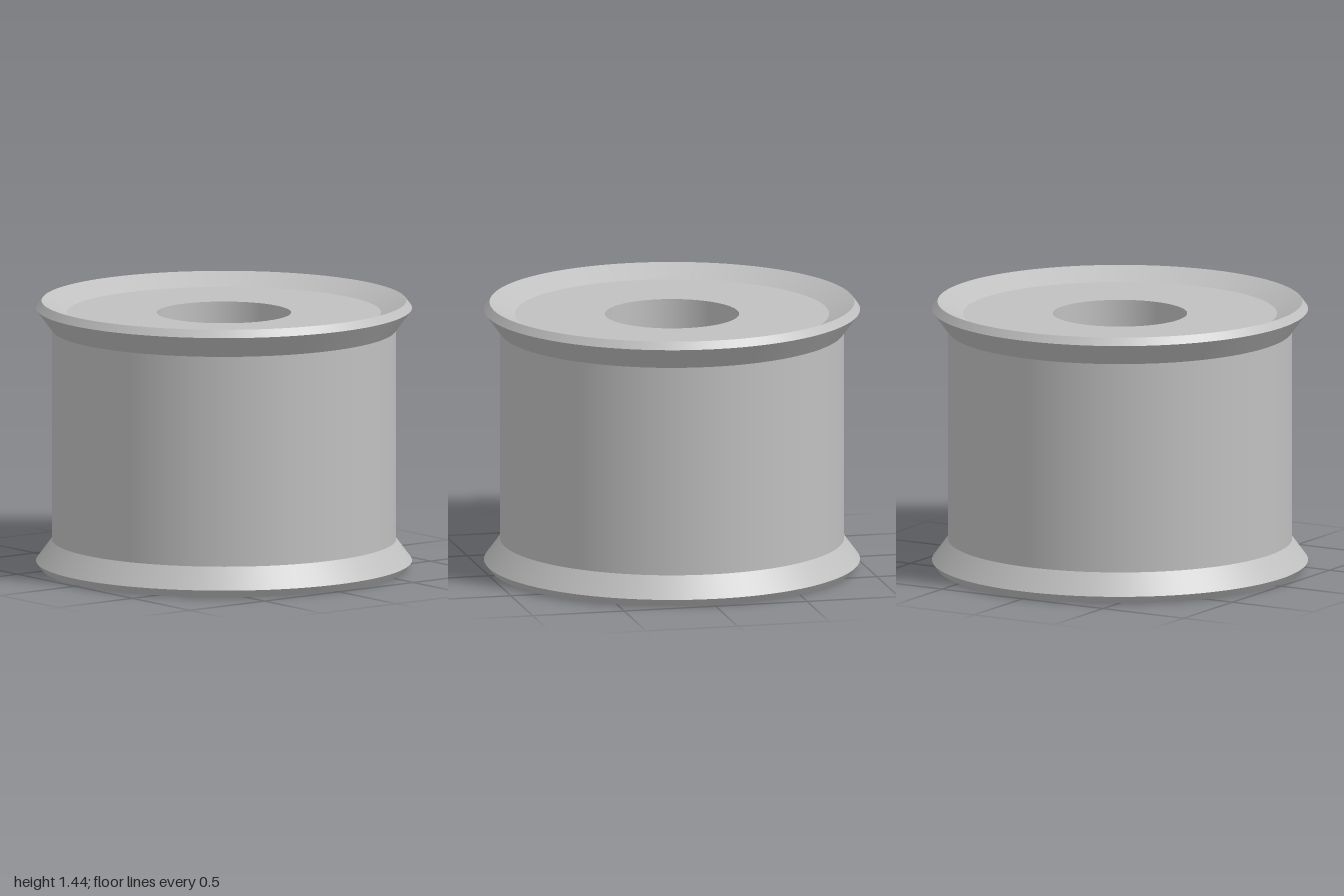
import * as THREE from 'three';

const SEGMENTS = 96;
const HEIGHT = 1.44;

export function createModel() {
  const model = new THREE.Group();
  model.name = 'spool';
  const steel = new THREE.MeshStandardMaterial({ color: 0xc0c0c0 });
  steel.name = 'steel grey';

  // One lathed band per straight profile segment keeps every rim edge sharp
  // while the surface stays smooth around the axis.
  function turned(name, profile) {
    const part = new THREE.Group();
    part.name = name;
    for (let i = 0; i < profile.length - 1; i++) {
      const points = [profile[i], profile[i + 1]].map(([r, y]) => new THREE.Vector2(r, y));
      const band = new THREE.Mesh(new THREE.LatheGeometry(points, SEGMENTS), steel);
      band.name = `${name}Band${i + 1}`;
      part.add(band);
    }
    model.add(part);
  }

  // Flange: recessed face, dished slope, bevelled rim, flare back to the barrel
  const flange = [
    [0.357, 0.065],
    [0.835, 0.065],
    [0.97, 0],
    [1, 0.04],
    [0.915, 0.155],
  ];
  const mirrored = flange.map(([r, y]) => [r, HEIGHT - y]).reverse();

  turned('lowerFlange', flange);
  turned('barrel', [flange[4], mirrored[0]]);
  turned('upperFlange', mirrored);

  // Through hole, running downwards so that it faces the axis
  turned('bore', [mirrored[4], flange[0]]);

  return model;
}
